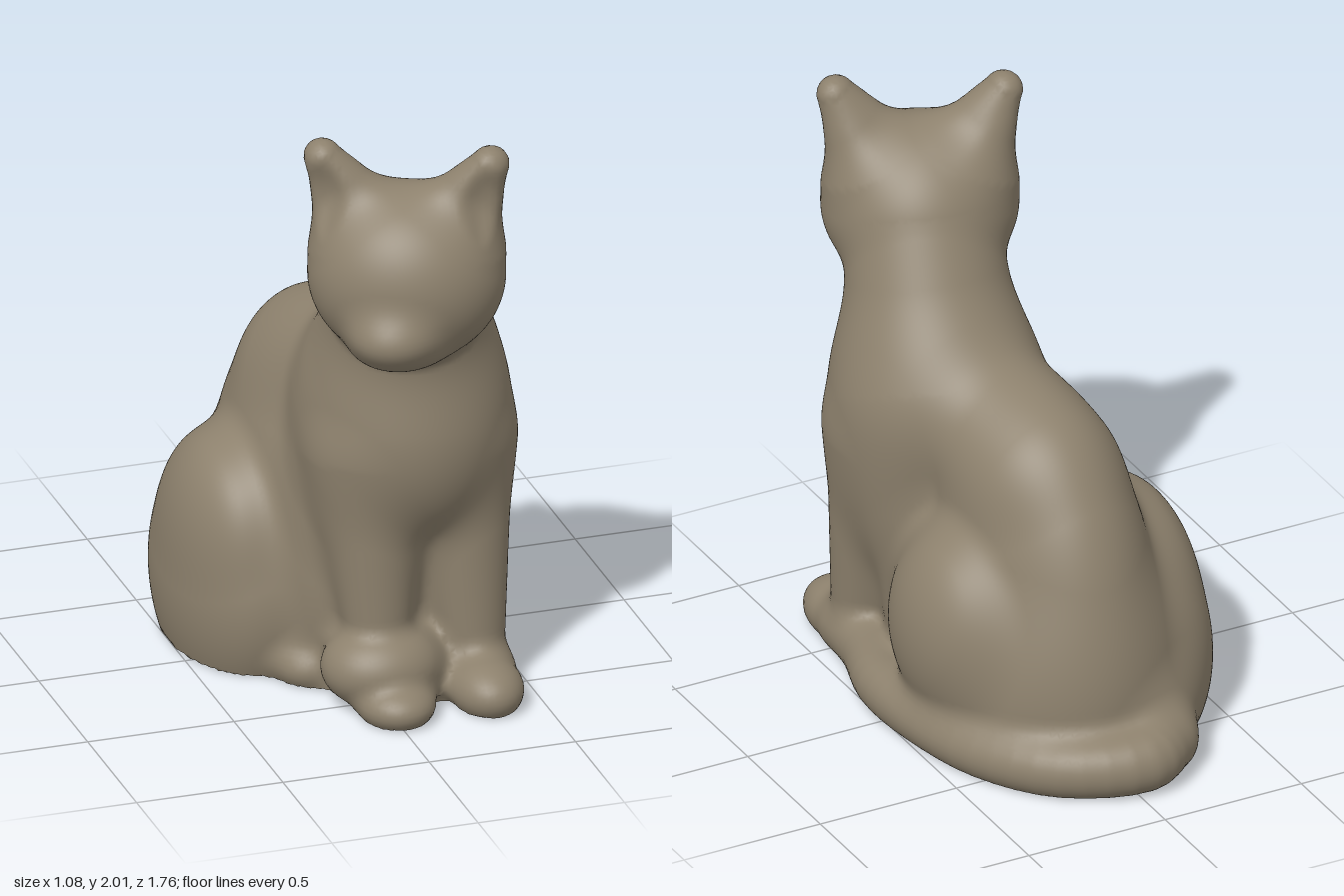
import * as THREE from 'three';

const fur = new THREE.MeshStandardMaterial({ color: 0x8d816d });
fur.name = 'clay brown';

// ---- distance rules for the sculpted volumes ----
const lerp = THREE.MathUtils.lerp;

function ball([cx, cy, cz], [rx, ry, rz]) {
  return (x, y, z) => {
    const a = (x - cx) / rx, b = (y - cy) / ry, c = (z - cz) / rz;
    const k0 = Math.hypot(a, b, c);
    const k1 = Math.hypot(a / rx, b / ry, c / rz) || 1e-6;
    return k0 * (k0 - 1) / k1;
  };
}

// limb with a different radius at each end
function limb(a, ra, b, rb) {
  const d = b.map((v, i) => v - a[i]);
  const len2 = d[0] ** 2 + d[1] ** 2 + d[2] ** 2;
  return (x, y, z) => {
    const px = x - a[0], py = y - a[1], pz = z - a[2];
    const t = Math.min(1, Math.max(0, (px * d[0] + py * d[1] + pz * d[2]) / len2));
    return Math.hypot(px - t * d[0], py - t * d[1], pz - t * d[2]) - lerp(ra, rb, t);
  };
}

function smoothMin(a, b, k) {
  const h = Math.max(k - Math.abs(a - b), 0) / k;
  return Math.min(a, b) - h * h * k / 4;
}

const blend = (k, ...list) => (x, y, z) => {
  let d = list[0](x, y, z);
  for (let i = 1; i < list.length; i++) d = smoothMin(d, list[i](x, y, z), k);
  return d;
};

const carve = (k, body, tool) => (x, y, z) => -smoothMin(-body(x, y, z), tool(x, y, z), k);

function place(field, [px, py, pz], yaw) {
  const c = Math.cos(yaw), s = Math.sin(yaw);
  return (x, y, z) => {
    const dx = x - px, dz = z - pz;
    return field(dx * c - dz * s, y - py, dx * s + dz * c);
  };
}

// ---- parts ----
const torso = blend(0.1,
  ball([0.02, 0.35, -0.13], [0.36, 0.81, 0.56]),   // back and rump
  ball([0.01, 0.23, -0.29], [0.41, 0.5, 0.42]),    // seat
  ball([-0.14, 0.12, -0.53], [0.19, 0.2, 0.2]),    // tail root
  limb([0.04, 0.9, -0.19], 0.245, [0.11, 1.04, 0.2], 0.26), // withers
  ball([0.14, 0.95, 0.35], [0.335, 0.43, 0.34]),   // chest
  limb([0.16, 1.02, 0.27], 0.3, [0.1, 1.53, 0.5], 0.25), // neck
  ball([0.28, 0.78, 0.27], [0.19, 0.4, 0.22]),     // left shoulder
  ball([0.0, 0.78, 0.27], [0.19, 0.4, 0.22]),      // right shoulder
  ball([0.13, 0.4, 0.18], [0.25, 0.6, 0.27]),      // belly
  ball([0.14, 0, 0.2], [0.3, 0.1, 0.36]));         // base

const ear = (s) => carve(0.04,
  blend(0.05,
    limb([s * 0.165, 0.16, -0.02], 0.145, [s * 0.28, 0.4, 0.0], 0.05),
    limb([s * 0.08, 0.21, 0.0], 0.08, [s * 0.265, 0.395, 0.02], 0.05)),
  ball([s * 0.265, 0.27, 0.12], [0.065, 0.13, 0.07]));

const head = place(blend(0.08,
  blend(0.09,
    ball([0, 0, 0], [0.323, 0.3, 0.285]),              // skull and cheeks
    ball([-0.02, -0.14, 0.23], [0.125, 0.085, 0.11]),  // muzzle
    ball([-0.01, -0.19, 0.15], [0.13, 0.06, 0.1])),    // chin
  ear(1), ear(-1)), [0.07, 1.55, 0.56], -0.43);

const leftForeleg = blend(0.07,
  limb([0.3, 0.85, 0.39], 0.18, [0.325, 0.1, 0.48], 0.1),
  ball([0.32, 0.06, 0.62], [0.12, 0.1, 0.16]));

const rightForeleg = blend(0.04,
  limb([-0.01, 0.85, 0.41], 0.18, [0.0, 0.15, 0.49], 0.095),
  ball([0.0, 0.14, 0.51], [0.2, 0.14, 0.175]),
  ball([0.01, 0.05, 0.62], [0.13, 0.085, 0.155]));

const leftHaunch = ball([0.27, 0.4, -0.18], [0.26, 0.37, 0.32]);
const rightHaunch = blend(0.06,
  ball([-0.275, 0.22, -0.17], [0.26, 0.46, 0.42]),
  ball([-0.31, 0.44, -0.12], [0.2, 0.3, 0.32]),     // knee
  ball([-0.19, 0.05, 0.2], [0.085, 0.075, 0.14]));  // hind foot

// tail sweeping round the left side to the front paw
const tailPath = new THREE.CatmullRomCurve3([
  [-0.16, 0.1, -0.69], [-0.04, 0.1, -0.775], [0.2, 0.09, -0.68], [0.36, 0.08, -0.45],
  [0.44, 0.08, -0.15], [0.45, 0.075, 0.1], [0.39, 0.07, 0.32], [0.36, 0.06, 0.5],
].map((p) => new THREE.Vector3(...p))).getPoints(28).map((p) => p.toArray());
const tailRadius = (i) => lerp(0.11, 0.08, i / 28);
const tailLinks = tailPath.slice(1).map((p, i) =>
  limb(tailPath[i], tailRadius(i), p, tailRadius(i + 1)));
const tail = (x, y, z) => Math.min(...tailLinks.map((link) => link(x, y, z)));

// name, volume, softness of its join with the rest
const parts = [
  ['torso', torso, 0.1], ['head', head, 0.04],
  ['leftForeleg', leftForeleg, 0.08], ['rightForeleg', rightForeleg, 0.08],
  ['leftHaunch', leftHaunch, 0.07], ['rightHaunch', rightHaunch, 0.08],
  ['tail', tail, 0.07],
];

// all parts joined, cut flat at the ground
function whole(x, y, z) {
  let d = 1e3;
  for (const [, f, k] of parts) d = smoothMin(d, f(x, y, z), k);
  return Math.max(d, -y);
}

function gradient(p) {
  const e = 0.004, g = [0, 1, 2].map((i) => {
    const a = [...p], b = [...p];
    a[i] += e; b[i] -= e;
    return (whole(...a) - whole(...b)) / (2 * e);
  });
  return new THREE.Vector3(...g);
}

export function createModel() {
  const step = 0.02, min = [-0.65, -0.05, -1], n = [65, 106, 100];
  const stride = [1, n[0], n[0] * n[1]];
  const at = (i, j, k) => i + j * stride[1] + k * stride[2];
  const grid = new Float32Array(n[0] * n[1] * n[2]);
  for (let k = 0; k < n[2]; k++) for (let j = 0; j < n[1]; j++) for (let i = 0; i < n[0]; i++)
    grid[at(i, j, k)] = whole(min[0] + i * step, min[1] + j * step, min[2] + k * step);

  // one surface point for each grid cell that the skin passes through
  const points = new Map();
  for (let k = 0; k < n[2] - 1; k++) for (let j = 0; j < n[1] - 1; j++) for (let i = 0; i < n[0] - 1; i++) {
    const c = at(i, j, k), sum = [0, 0, 0];
    let count = 0;
    for (let m = 0; m < 8; m++) for (let a = 0; a < 3; a++) {
      if (m >> a & 1) continue;
      const o = [m & 1, m >> 1 & 1, m >> 2 & 1];
      const q = c + at(...o), d0 = grid[q], d1 = grid[q + stride[a]];
      if ((d0 < 0) === (d1 < 0)) continue;
      o[a] += d0 / (d0 - d1);
      o.forEach((v, t) => { sum[t] += v; });
      count++;
    }
    if (!count) continue;
    const p = [i, j, k].map((v, t) => min[t] + (v + sum[t] / count) * step);
    const g = gradient(p), move = whole(...p) / Math.max(g.lengthSq(), 0.3);
    const pos = new THREE.Vector3(...p).addScaledVector(g, -THREE.MathUtils.clamp(move, -0.01, 0.01));
    pos.y = Math.max(pos.y, 0);
    const normal = gradient(pos.toArray()).normalize();
    const near = parts.map(([, f]) => f(pos.x, pos.y, pos.z));
    points.set(c, { pos, normal, part: near.indexOf(Math.min(...near)) });
  }

  // skin faces, handed to the part they lie on
  const skins = parts.map(() => ({ position: [], normal: [], index: [], used: new Map() }));
  for (const [c, point] of points) for (let a = 0; a < 3; a++) {
    const inside = grid[c] < 0;
    if (inside === (grid[c + stride[a]] < 0)) continue;
    const u = stride[(a + 1) % 3], v = stride[(a + 2) % 3];
    const quad = [c - u - v, c - v, c, c - u];
    if (!inside) quad.reverse();
    const skin = skins[point.part];
    const id = quad.map((q) => {
      if (!skin.used.has(q)) {
        skin.used.set(q, skin.used.size);
        skin.position.push(...points.get(q).pos.toArray());
        skin.normal.push(...points.get(q).normal.toArray());
      }
      return skin.used.get(q);
    });
    skin.index.push(id[0], id[1], id[2], id[0], id[2], id[3]);
  }

  const cat = new THREE.Group();
  cat.name = 'sittingCat';
  skins.forEach((skin, i) => {
    const geometry = new THREE.BufferGeometry();
    geometry.setAttribute('position', new THREE.Float32BufferAttribute(skin.position, 3));
    geometry.setAttribute('normal', new THREE.Float32BufferAttribute(skin.normal, 3));
    geometry.setIndex(skin.index);
    const mesh = new THREE.Mesh(geometry, fur);
    mesh.name = parts[i][0];
    cat.add(mesh);
  });
  return cat;
}
